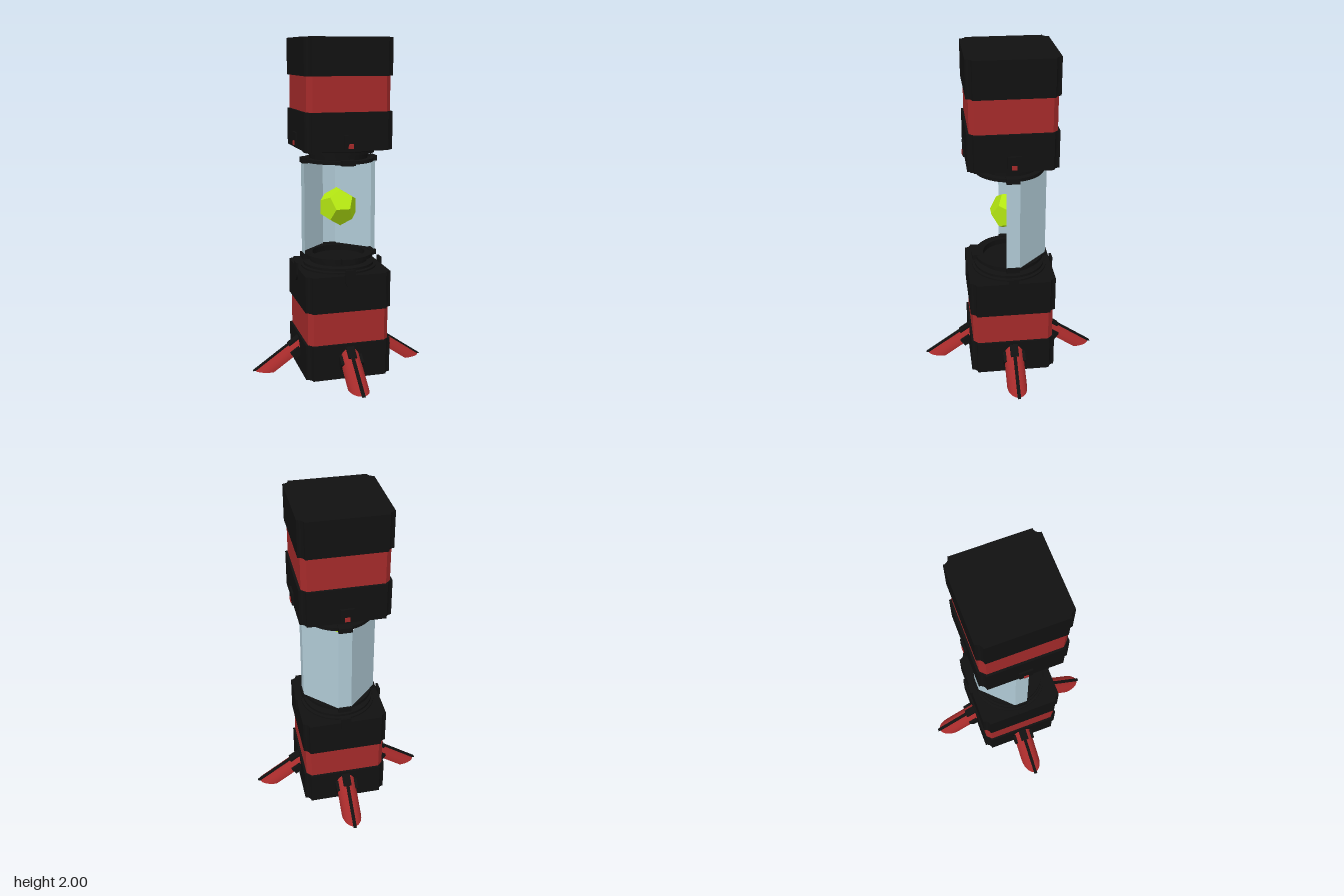
import * as THREE from 'three';
import { toCreasedNormals } from 'three/addons/utils/BufferGeometryUtils.js';

const black = new THREE.MeshStandardMaterial({ color: 0x111111 });
black.name = 'black metal';
const red = new THREE.MeshStandardMaterial({ color: 0xa52a2a, side: THREE.DoubleSide });
red.name = 'red paint';
const glass = new THREE.MeshStandardMaterial({ color: 0xb0cad5, side: THREE.DoubleSide });
glass.name = 'pale glass';
const lime = new THREE.MeshStandardMaterial({ color: 0xb4e612 });
lime.name = 'lime crystal';

function add(parent, name, geometry, material, x = 0, y = 0, z = 0) {
  const mesh = new THREE.Mesh(geometry, material);
  mesh.name = name;
  mesh.position.set(x, y, z);
  parent.add(mesh);
  return mesh;
}

// Square slab from y0 to y1; corners are scooped out or chamfered
function slab(half, cut, y0, y1, scooped) {
  const shape = new THREE.Shape();
  for (let i = 0; i < 4; i++) {
    const a = i * Math.PI / 2, c = Math.cos(a), s = Math.sin(a);
    const put = (x, y) => shape[shape.curves.length || shape.started ? 'lineTo' : 'moveTo'](x * c - y * s, x * s + y * c);
    put(half, -half + cut);
    shape.started = true;
    put(half, half - cut);
    if (scooped) {
      for (let k = 1; k < 8; k++) {
        const t = -Math.PI / 2 - k * Math.PI / 16;
        put(half + cut * Math.cos(t), half + cut * Math.sin(t));
      }
    }
    put(half - cut, half);
  }
  shape.closePath();
  const g = new THREE.ExtrudeGeometry(shape, { depth: y1 - y0, bevelEnabled: false });
  return g.rotateX(-Math.PI / 2).translate(0, y0, 0);
}

// One end of the body: blocks, band, stepped collar and ring clamps
function makeEnd(name) {
  const end = new THREE.Group();
  end.name = name;
  add(end, 'outerBlock', slab(0.26, 0.035, 0, 0.215, true), black);
  add(end, 'redBand', slab(0.247, 0.03, 0.21, 0.425, false), red);
  add(end, 'innerBlock', slab(0.26, 0.035, 0.415, 0.635, true), black);
  const profile = [
    [0.23, 0.63], [0.23, 0.645], [0.215, 0.65], [0.215, 0.665], [0.175, 0.67], [0.175, 0.7],
    [0.21, 0.7], [0.21, 0.72], [0.16, 0.72], [0.16, 0.685], [0, 0.685],
  ].map(([x, y]) => new THREE.Vector2(x, y));
  add(end, 'collar', toCreasedNormals(new THREE.LatheGeometry(profile, 48), 0.5), black);
  for (let i = 0; i < 4; i++) {
    const side = new THREE.Group();
    side.name = 'ringClampSide';
    side.rotation.y = i * Math.PI / 2;
    add(side, 'ringClamp', new THREE.BoxGeometry(0.045, 0.032, 0.08), black, 0.208, 0.709, 0);
    end.add(side);
  }
  return end;
}

// Sloping half-tube foot pointing along +x, cut level with the ground
function makeLeg() {
  const leg = new THREE.Group();
  leg.name = 'leg';
  const slope = 0.7, tilt = -Math.atan(slope), rise = 0.073;
  const shell = new THREE.PlaneGeometry(1, 1, 24, 4);
  const p = shell.attributes.position;
  for (let i = 0; i < p.count; i++) {
    const angle = (p.getX(i) + 0.5) * Math.PI, t = p.getY(i) + 0.5;
    const endX = 0.53 - rise / slope * (1 - Math.sin(angle));
    const x = endX + (0.24 - endX) * t;
    p.setXYZ(i, x, slope * (endX - x), 0.061 * Math.cos(angle));
  }
  shell.computeVertexNormals();
  add(leg, 'legShell', shell, red);

  const fin = new THREE.Shape([[0.24, 0.212], [0.24, 0.185], [0.515, 0], [0.543, 0]].map(([x, y]) => new THREE.Vector2(x, y)));
  const finGeo = new THREE.ExtrudeGeometry(fin, { depth: 0.02, bevelEnabled: false });
  add(leg, 'legSpine', finGeo, black, 0, 0, -0.01);
  add(leg, 'legClamp', new THREE.BoxGeometry(0.065, 0.05, 0.138), black, 0.28, 0.112, 0).rotation.z = tilt;
  add(leg, 'spineBracket', new THREE.BoxGeometry(0.09, 0.016, 0.05), black, 0.283, 0.172, 0).rotation.z = tilt;
  return leg;
}

export function createModel() {
  const model = new THREE.Group();
  model.name = 'crystalCanister';

  // Mirrored ends
  model.add(makeEnd('base'));
  const top = makeEnd('head');
  top.rotation.x = Math.PI;
  top.position.y = 2;
  model.add(top);

  // Open-fronted glass wall with narrow and wide facets
  const plan = [[0.22, 0.04], [0.22, -0.04], [0.04, -0.22], [-0.04, -0.22], [-0.22, -0.04], [-0.22, 0.04]];
  for (let i = 0; i < plan.length - 1; i++) {
    const [x0, z0] = plan[i], [x1, z1] = plan[i + 1];
    const pane = new THREE.PlaneGeometry(Math.hypot(x1 - x0, z1 - z0), 0.56);
    add(model, 'glassPane', pane, glass, (x0 + x1) / 2, 1, (z0 + z1) / 2)
      .rotation.y = Math.atan2(x0 + x1, z0 + z1);
  }

  // Floating crystal
  add(model, 'crystal', new THREE.DodecahedronGeometry(0.118), lime, 0, 1, 0).rotation.z = Math.PI / 2;

  // Legs, clips and indicators on all four sides
  const shield = new THREE.Shape();
  shield.moveTo(-0.03, 0.67);
  shield.lineTo(-0.03, 0.6);
  shield.quadraticCurveTo(-0.025, 0.57, 0, 0.555);
  shield.quadraticCurveTo(0.025, 0.57, 0.03, 0.6);
  shield.lineTo(0.03, 0.67);
  const shieldGeo = new THREE.ExtrudeGeometry(shield, { depth: 0.014, bevelEnabled: false });
  shieldGeo.rotateY(Math.PI / 2);
  for (let i = 0; i < 4; i++) {
    const side = new THREE.Group();
    side.name = 'sideFittings';
    side.rotation.y = i * Math.PI / 2;
    side.add(makeLeg());
    add(side, 'lowerClip', shieldGeo, black, 0.257, 0, 0);
    add(side, 'upperClip', new THREE.BoxGeometry(0.03, 0.08, 0.08), black, 0.256, 1.418, 0);
    add(side, 'indicator', new THREE.BoxGeometry(0.006, 0.026, 0.03), red, 0.272, 1.394, 0);
    model.add(side);
  }
  return model;
}
